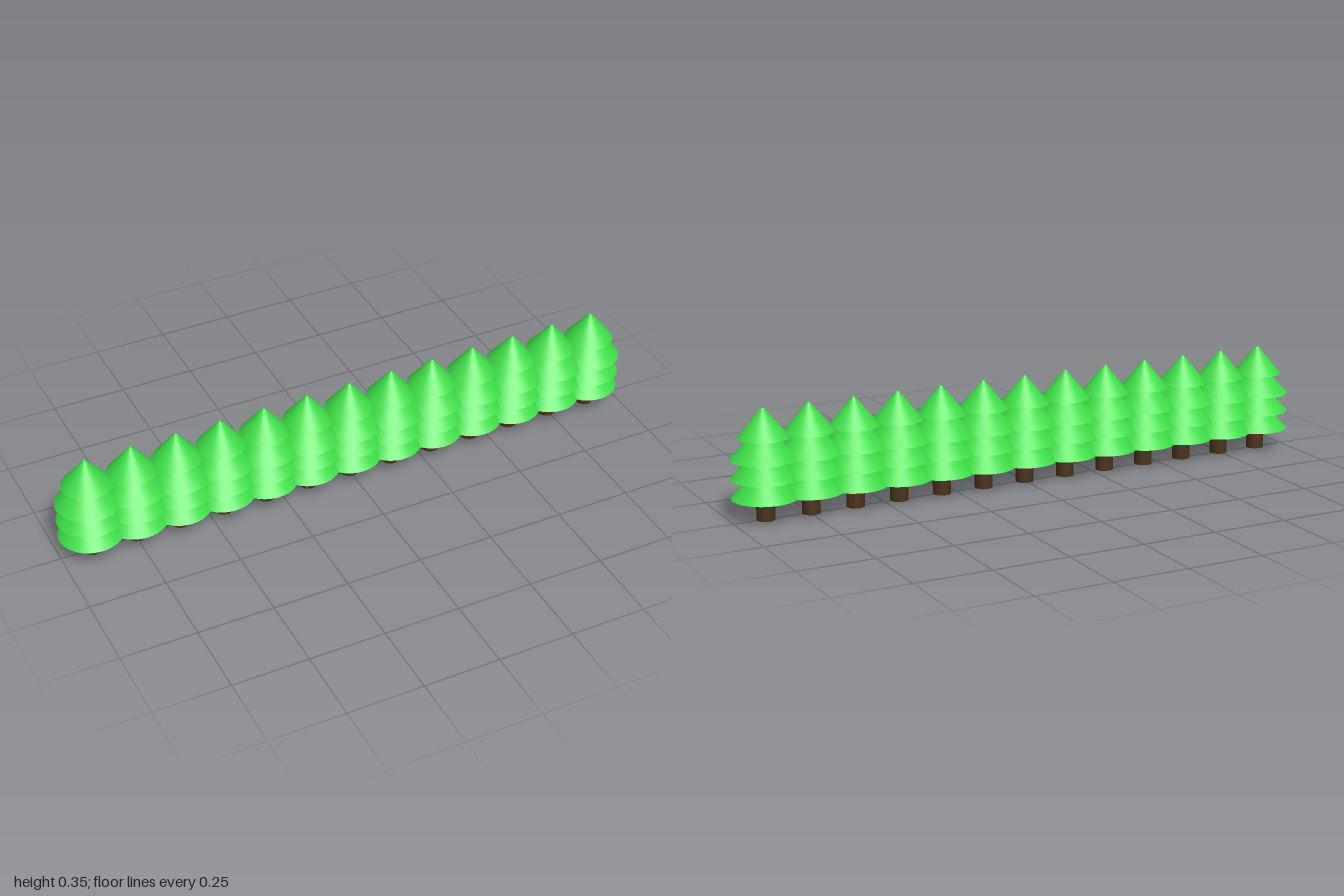
import * as THREE from 'three';

const TREES = 13, REACH = 0.895, SIDES = 40;

// Foliage tiers from bottom to top: base height, base radius, top radius, height
const TIERS = [
  [0.071, 0.105, 0.004, 0.108],
  [0.132, 0.105, 0.004, 0.108],
  [0.194, 0.105, 0.004, 0.108],
  [0.261, 0.08, 0.004, 0.092],
];

// Cylinder or cone standing on height y
function standing(name, rTop, rBottom, height, y, material) {
  const geometry = new THREE.CylinderGeometry(rTop, rBottom, height, SIDES);
  geometry.translate(0, y + height / 2, 0);
  const mesh = new THREE.Mesh(geometry, material);
  mesh.name = name;
  return mesh;
}

export function createModel() {
  const model = new THREE.Group();
  model.name = 'treeRow';
  const green = new THREE.MeshStandardMaterial({ color: 0x3fdc48 });
  const brown = new THREE.MeshStandardMaterial({ color: 0x4a321c });

  // One tree: trunk and four overlapping foliage cones
  const tree = new THREE.Group();
  tree.add(standing('trunk', 0.029, 0.029, 0.09, 0, brown));
  TIERS.forEach(([y, rBottom, rTop, height], i) =>
    tree.add(standing(`foliageTier${i + 1}`, rTop, rBottom, height, y, green)));

  // Evenly spaced row along x
  for (let i = 0; i < TREES; i++) {
    const copy = tree.clone();
    copy.name = `tree${i + 1}`;
    copy.position.x = -REACH + (2 * REACH * i) / (TREES - 1);
    model.add(copy);
  }
  return model;
}
